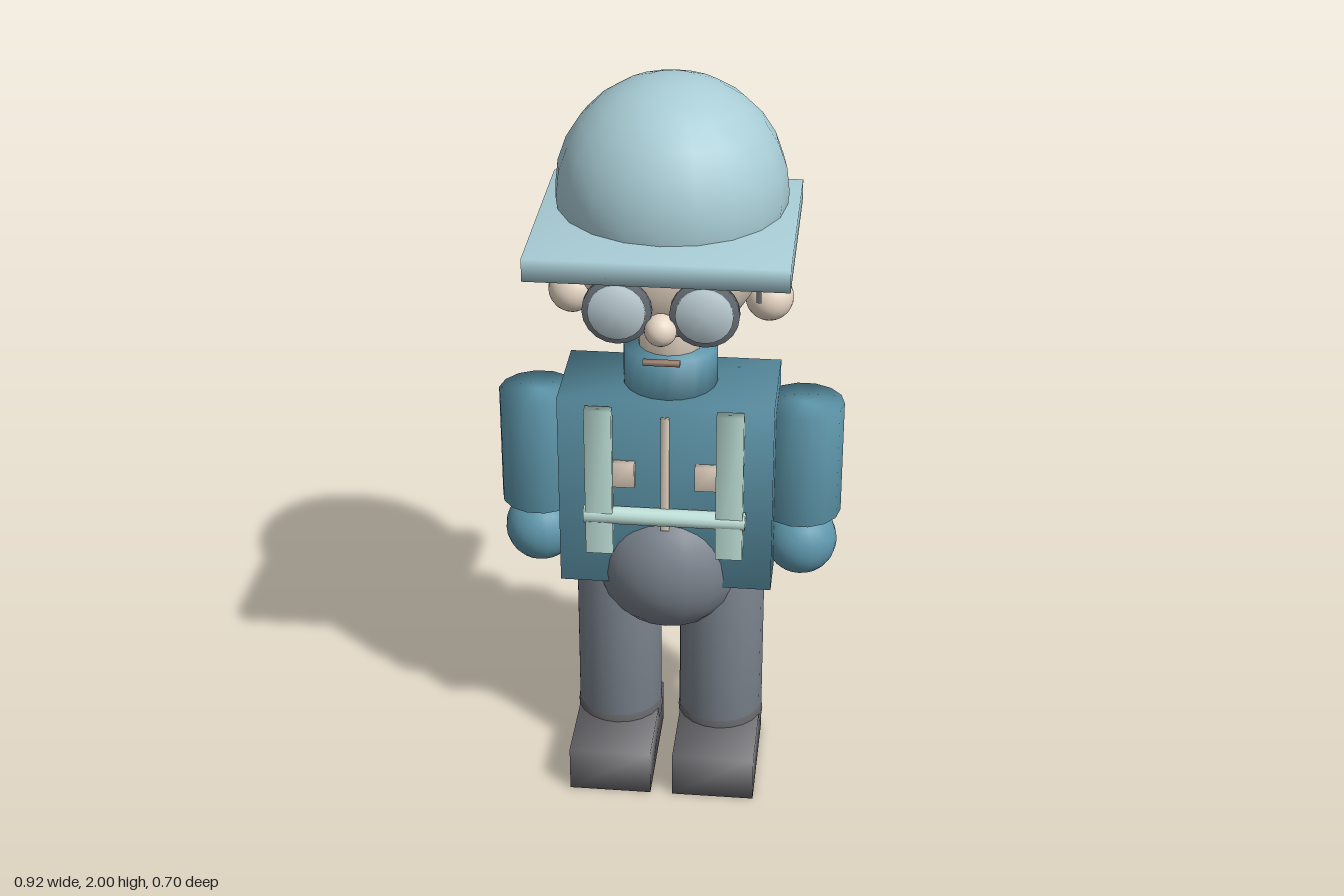
import * as THREE from 'three';
import { mergeVertices } from 'three/addons/utils/BufferGeometryUtils.js';

const Z = -0.018; // depth of the body axis

const mat = (color) => new THREE.MeshStandardMaterial({ color });
const skin = mat(0xe8d8c6), hat = mat(0xa9cdd6), shirt = mat(0x5f98ad), trousers = mat(0x7a828c);
const leather = mat(0x68686c), hair = mat(0x7d5a55), strap = mat(0xbfe0d8);
const frame = mat(0x6a7278), lens = mat(0xc0d2d8), lip = mat(0xa08070);

// Weld the corners so that shading flows over every edge
function soft(geometry) {
  geometry.deleteAttribute('uv');
  geometry.deleteAttribute('normal');
  const welded = mergeVertices(geometry, 1e-4);
  welded.computeVertexNormals();
  return welded;
}

export function createModel() {
  const model = new THREE.Group();
  model.name = 'figure';

  const add = (name, geometry, material, x, y, z) => {
    const mesh = new THREE.Mesh(geometry, material);
    mesh.name = name;
    mesh.position.set(x, y, z);
    model.add(mesh);
    return mesh;
  };
  const ball = (name, r, m, x, y, z) =>
    add(name, new THREE.SphereGeometry(r, 20, 14), m, x, y, z);
  const box = (name, w, h, d, m, x, y, z) =>
    add(name, soft(new THREE.BoxGeometry(w, h, d)), m, x, y, z);
  const rod = (name, r, h, sides, m, x, y, z) =>
    add(name, soft(new THREE.CylinderGeometry(r, r, h, sides).rotateY(Math.PI / 2)), m, x, y, z);

  // Head and cap
  ball('head', 0.25, skin, 0, 1.57, -0.02);
  ball('cap', 0.3, hat, 0, 1.7, -0.05);
  box('capBrim', 0.654, 0.06, 0.565, hat, 0, 1.64, 0.07);
  ball('hairBun', 0.15, hair, 0, 1.55, -0.2);
  ball('nose', 0.042, skin, 0, 1.435, 0.23);
  box('mouth', 0.095, 0.012, 0.016, lip, 0, 1.335, 0.215);
  box('goggleArm', 0.012, 0.1, 0.01, frame, 0.236, 1.506, 0.09);

  // Neck and trunk
  rod('neck', 0.085, 0.15, 16, skin, 0, 1.32, Z);
  rod('collar', 0.125, 0.13, 20, shirt, 0, 1.215, Z);
  box('torso', 0.57, 0.555, 0.28, shirt, 0, 0.893, -0.015);
  ball('hips', 0.215, trousers, 0, 0.643, Z);

  // Harness and zip on the chest
  rod('harnessBar', 0.024, 0.43, 12, strap, 0, 0.84, 0.148).rotation.z = Math.PI / 2;
  box('zip', 0.022, 0.335, 0.02, skin, 0, 0.962, 0.132);

  // Paired parts
  for (const [side, s] of [['left', 1], ['right', -1]]) {
    ball(side + 'Ear', 0.063, skin, s * 0.257, 1.423, Z);
    rod(side + 'GoggleFrame', 0.088, 0.022, 20, frame, s * 0.11, 1.483, 0.226).rotation.x = Math.PI / 2;
    rod(side + 'GoggleLens', 0.073, 0.024, 20, lens, s * 0.11, 1.483, 0.233).rotation.x = Math.PI / 2;

    rod(side + 'Arm', 0.107, 0.325, 14, shirt, s * 0.355, 0.956, -0.022);
    ball(side + 'Hand', 0.098, shirt, s * 0.357, 0.7, Z);

    box(side + 'Strap', 0.072, 0.43, 0.03, strap, s * 0.173, 0.945, 0.152);
    box(side + 'Button', 0.06, 0.07, 0.026, skin, s * 0.11, 0.96, 0.134);

    rod(side + 'Leg', 0.117, 0.56, 20, trousers, s * 0.143, 0.37, Z);
    ball(side + 'Ankle', 0.12, leather, s * 0.143, 0.125, Z);
    box(side + 'Shoe', 0.225, 0.13, 0.35, leather, s * 0.143, 0.065, 0.068);
  }
  return model;
}
